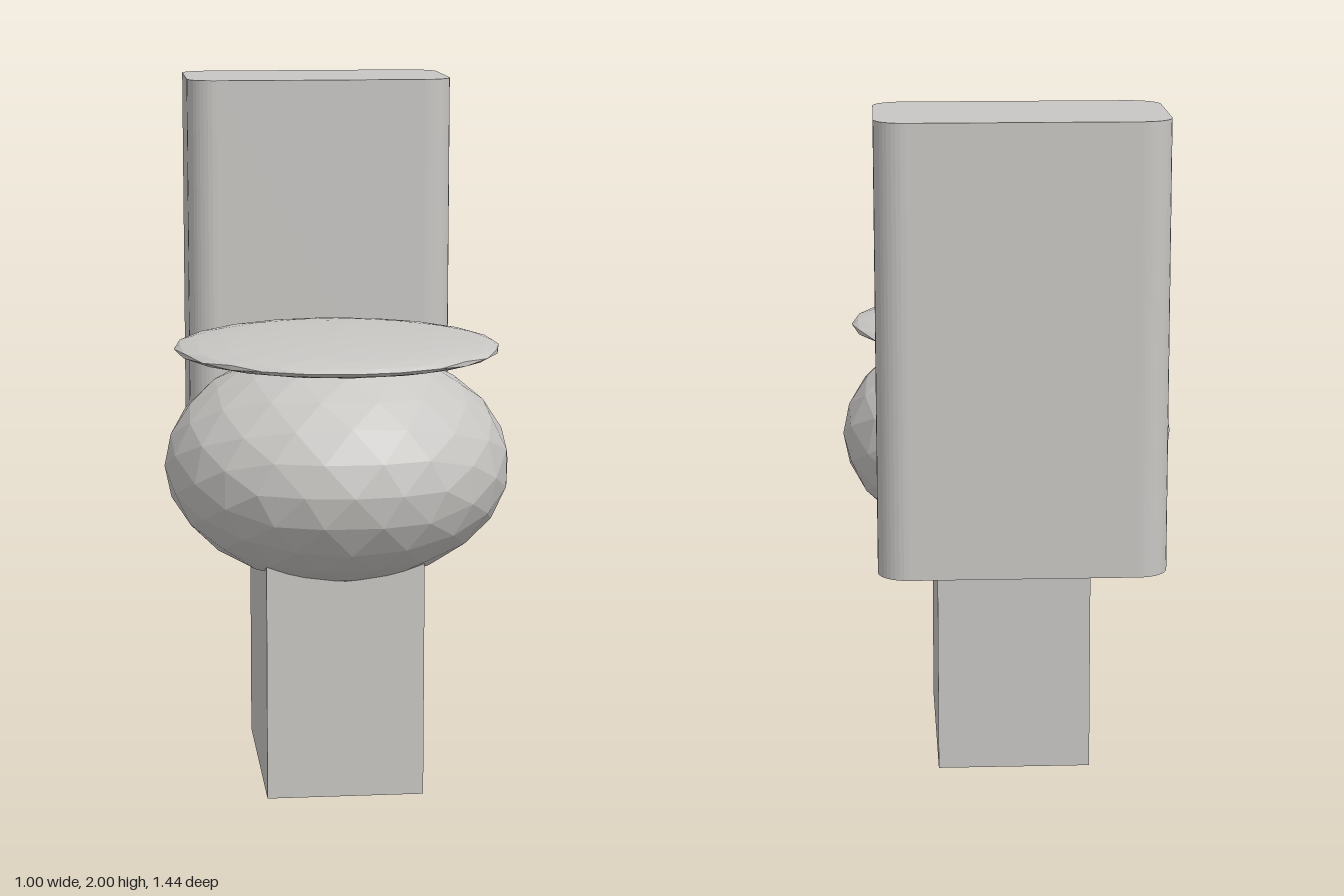
import * as THREE from 'three';

// Faceted ball: an icosahedron halved edge by edge, every corner kept on the sphere
function facetedBall(rx, ry, rz) {
  const p = new THREE.IcosahedronGeometry(1, 1).toNonIndexed?.().attributes.position
    ?? new THREE.IcosahedronGeometry(1, 1).attributes.position;
  const out = [];
  const mid = (a, b) => a.clone().add(b).normalize();
  for (let i = 0; i < p.count; i += 3) {
    const [a, b, c] = [0, 1, 2].map((k) => new THREE.Vector3().fromBufferAttribute(p, i + k).normalize());
    const ab = mid(a, b), bc = mid(b, c), ca = mid(c, a);
    for (const v of [a, ab, ca, ab, b, bc, ca, bc, c, ab, bc, ca]) out.push(v.x, v.y, v.z);
  }
  const geo = new THREE.BufferGeometry();
  geo.setAttribute('position', new THREE.Float32BufferAttribute(out, 3));
  geo.rotateX(-Math.PI / 2).scale(rx, ry, rz);
  geo.computeVertexNormals();
  return geo;
}

// Upright block with rounded vertical edges, standing on y = 0
function roundedColumn(w, d, h, r) {
  const x = w / 2, y = d / 2, q = Math.PI / 2;
  const s = new THREE.Shape();
  s.absarc(x - r, y - r, r, 0, q);
  s.absarc(-x + r, y - r, r, q, 2 * q);
  s.absarc(-x + r, -y + r, r, 2 * q, 3 * q);
  s.absarc(x - r, -y + r, r, 3 * q, 4 * q);
  s.closePath();
  return new THREE.ExtrudeGeometry(s, { depth: h, bevelEnabled: false, curveSegments: 5 }).rotateX(-q);
}

export function createModel() {
  const group = new THREE.Group();
  const porcelain = new THREE.MeshStandardMaterial({ color: 0xc9c7c4 });
  porcelain.name = 'porcelain';
  const add = (name, geo, x, y, z) => {
    const mesh = new THREE.Mesh(geo, porcelain);
    mesh.name = name;
    mesh.position.set(x, y, z);
    group.add(mesh);
  };

  // Foot under the bowl
  add('pedestal', new THREE.BoxGeometry(0.45, 0.77, 0.67), 0, 0.385, 0.135);
  // Squashed round bowl
  add('bowl', facetedBall(0.5, 0.34, 0.5), 0, 0.93, 0.22);
  // Thin lens-shaped lid
  add('lid', facetedBall(0.47, 0.043, 0.47), 0, 1.27, 0.22);
  // Tall water tank behind
  add('tank', roundedColumn(0.8, 0.465, 1.255, 0.085), 0, 0.745, -0.49);

  return group;
}
